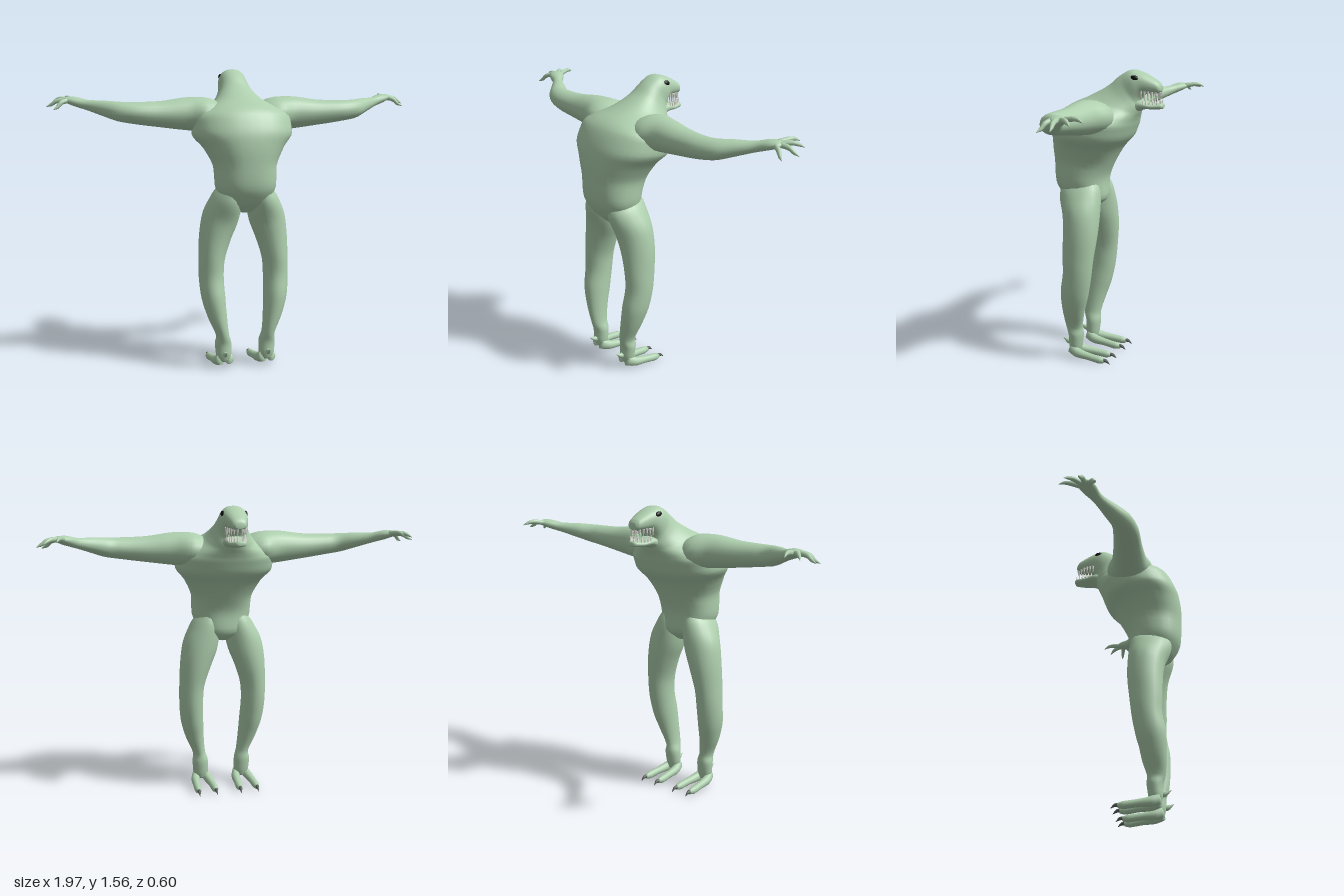
import * as THREE from 'three';

const V = (x, y, z) => new THREE.Vector3(x, y, z);

const skin = new THREE.MeshStandardMaterial({ color: 0xaecfae });
skin.name = 'skin';
const claw = new THREE.MeshStandardMaterial({ color: 0x59605a });
claw.name = 'claw';
const ivory = new THREE.MeshStandardMaterial({ color: 0xf2f2ea });
ivory.name = 'tooth ivory';
const black = new THREE.MeshStandardMaterial({ color: 0x0a0a0a });
black.name = 'eye black';

// Smooth closed skin through rings { c: centre, u, v: half axes }
function loft(rings, sides = 24, steps = 4, power = 1) {
  const curve = (k) => new THREE.CatmullRomCurve3(rings.map((r) => r[k]));
  const [C, U, W] = ['c', 'u', 'v'].map(curve);
  const n = (rings.length - 1) * steps;
  const along = rings[1].c.clone().sub(rings[0].c);
  const sign = rings[0].u.clone().cross(rings[0].v).dot(along) < 0 ? -1 : 1;
  const soft = (t) => Math.sign(t) * Math.pow(Math.abs(t), power);
  const pos = [], idx = [];
  for (let i = 0; i <= n; i++) {
    const c = C.getPoint(i / n), u = U.getPoint(i / n), v = W.getPoint(i / n);
    for (let j = 0; j < sides; j++) {
      const a = (j / sides) * Math.PI * 2;
      const p = c.clone().addScaledVector(u, soft(Math.cos(a))).addScaledVector(v, sign * soft(Math.sin(a)));
      pos.push(p.x, p.y, p.z);
    }
  }
  const first = rings[0].c, last = rings[rings.length - 1].c;
  const s0 = pos.length / 3, s1 = s0 + 1;
  pos.push(first.x, first.y, first.z, last.x, last.y, last.z);
  for (let j = 0; j < sides; j++) {
    const k = (j + 1) % sides;
    for (let i = 0; i < n; i++) {
      const a = i * sides + j, b = i * sides + k;
      idx.push(a, b, a + sides, b, b + sides, a + sides);
    }
    idx.push(s0, k, j, s1, n * sides + j, n * sides + k);
  }
  const g = new THREE.BufferGeometry();
  g.setAttribute('position', new THREE.Float32BufferAttribute(pos, 3));
  g.setIndex(idx);
  g.computeVertexNormals();
  return g;
}

// Rings square to a path; rows are [x, y, z, half width, half thickness along ref]
function limb(rows, side, ref, sides = 20, steps = 4) {
  const pts = rows.map((r) => V(r[0] * side, r[1], r[2]));
  const rings = rows.map((r, i) => {
    const t = pts[Math.min(i + 1, pts.length - 1)].clone().sub(pts[Math.max(i - 1, 0)]).normalize();
    const u = ref.clone().cross(t).normalize();
    const v = t.clone().cross(u);
    return { c: pts[i], u: u.multiplyScalar(r[3]), v: v.multiplyScalar(r[4]) };
  });
  return loft(rings, sides, steps);
}

// Rings on the centre plane; rows are [back z, back y, front z, front y, half width]
function trunk(rows, power) {
  return loft(rows.map(([bz, by, fz, fy, w]) => ({
    c: V(0, (by + fy) / 2, (bz + fz) / 2),
    u: V(w, 0, 0),
    v: V(0, (by - fy) / 2, (bz - fz) / 2),
  })), 32, 4, power);
}

export function createModel() {
  const root = new THREE.Group();
  root.name = 'creature';
  const body = new THREE.Group();
  body.name = 'body';
  body.rotation.y = 0.03;
  body.position.x = 0.02;
  root.add(body);
  const add = (name, geo, mat = skin) => {
    const m = new THREE.Mesh(geo, mat);
    m.name = name;
    body.add(m);
    return m;
  };
  const Y = V(0, 1, 0), Z = V(0, 0, 1);

  // Hunched torso running into neck, skull and upper jaw
  add('torsoAndHead', trunk([
    [0.19, 0.85, 0.07, 0.85, 0.03],
    [0.245, 0.90, 0.02, 0.90, 0.12],
    [0.29, 0.98, 0.02, 1.0, 0.158],
    [0.30, 1.1, -0.01, 1.08, 0.163],
    [0.30, 1.2, -0.06, 1.17, 0.21],
    [0.285, 1.28, -0.11, 1.23, 0.262],
    [0.245, 1.36, -0.135, 1.29, 0.26],
    [0.2, 1.40, -0.15, 1.33, 0.21],
    [0.1, 1.445, -0.165, 1.36, 0.135],
    [0.0, 1.50, -0.175, 1.385, 0.095],
    [-0.06, 1.55, -0.172, 1.405, 0.078],
    [-0.12, 1.58, -0.175, 1.43, 0.074],
    [-0.17, 1.572, -0.195, 1.457, 0.064],
    [-0.23, 1.545, -0.237, 1.462, 0.05],
    [-0.268, 1.522, -0.273, 1.466, 0.038],
    [-0.281, 1.505, -0.284, 1.475, 0.022],
  ], 0.88));

  add('lowerJaw', trunk([
    [-0.10, 1.43, -0.13, 1.33, 0.06],
    [-0.175, 1.43, -0.18, 1.377, 0.058],
    [-0.235, 1.412, -0.24, 1.382, 0.045],
    [-0.283, 1.415, -0.287, 1.385, 0.029],
    [-0.293, 1.41, -0.295, 1.392, 0.016],
  ], 0.88));

  for (const s of [1, -1]) {
    const label = s > 0 ? 'left' : 'right';

    // Arm and palm
    add(label + 'Arm', limb([
      [0.09, 1.34, 0.05, 0.10, 0.06],
      [0.19, 1.35, 0.035, 0.125, 0.088],
      [0.28, 1.355, 0.04, 0.092, 0.085],
      [0.42, 1.355, 0.047, 0.075, 0.067],
      [0.55, 1.362, 0.05, 0.066, 0.056],
      [0.63, 1.37, 0.035, 0.055, 0.05],
      [0.70, 1.385, -0.01, 0.042, 0.04],
      [0.785, 1.402, -0.065, 0.028, 0.026],
      [0.84, 1.418, -0.098, 0.04, 0.024],
      [0.875, 1.425, -0.117, 0.04, 0.017],
      [0.895, 1.425, -0.127, 0.018, 0.008],
    ], s, Y));

    // Fingers: base x, z then tip x, y, z
    for (const [bx, bz, tx, ty, tz] of [
      [0.855, -0.135, 0.89, 1.42, -0.24],
      [0.875, -0.13, 0.95, 1.41, -0.205],
      [0.882, -0.112, 0.985, 1.39, -0.13],
      [0.868, -0.095, 0.955, 1.378, -0.05],
    ]) add(label + 'Finger', limb([
      [bx, 1.425, bz, 0.014, 0.014],
      [(bx + tx) / 2, (1.432 + ty) / 2 + 0.008, (bz + tz) / 2, 0.012, 0.012],
      [bx + (tx - bx) * 0.75, ty + 0.012, bz + (tz - bz) * 0.75, 0.008, 0.009],
      [tx, ty, tz, 0.001, 0.001],
    ], s, Y, 10));

    // Leg from hip to ankle
    add(label + 'Leg', limb([
      [0.075, 0.99, 0.145, 0.05, 0.10],
      [0.092, 0.92, 0.135, 0.08, 0.113],
      [0.125, 0.82, 0.115, 0.095, 0.10],
      [0.152, 0.72, 0.11, 0.084, 0.093],
      [0.172, 0.6, 0.115, 0.068, 0.085],
      [0.175, 0.5, 0.12, 0.065, 0.078],
      [0.168, 0.4, 0.138, 0.062, 0.077],
      [0.15, 0.3, 0.153, 0.05, 0.063],
      [0.125, 0.2, 0.16, 0.034, 0.048],
      [0.12, 0.15, 0.152, 0.044, 0.042],
      [0.117, 0.09, 0.155, 0.042, 0.037],
      [0.116, 0.055, 0.155, 0.03, 0.028],
    ], s, Z));

    // Heel spur
    add(label + 'HeelSpur', limb([
      [0.117, 0.10, 0.165, 0.018, 0.02],
      [0.117, 0.10, 0.20, 0.013, 0.014],
      [0.117, 0.118, 0.232, 0.001, 0.001],
    ], s, Y, 10));

    // Two long splayed toes with claws
    for (const d of [-1, 1]) {
      const x = (k) => 0.116 + d * k;
      add(label + 'Toe', limb([
        [x(0.022), 0.07, 0.175, 0.02, 0.03],
        [x(0.035), 0.053, 0.13, 0.024, 0.026],
        [x(0.043), 0.044, 0.06, 0.02, 0.02],
        [x(0.047), 0.036, 0.0, 0.019, 0.02],
        [x(0.047), 0.034, -0.03, 0.011, 0.012],
      ], s, Y, 14));
      add(label + 'ToeClaw', limb([
        [x(0.047), 0.036, -0.015, 0.012, 0.012],
        [x(0.048), 0.036, -0.042, 0.008, 0.009],
        [x(0.049), 0.02, -0.064, 0.001, 0.001],
      ], s, Y, 8), claw);
    }

    // Eye
    const eye = add(label + 'Eye', new THREE.SphereGeometry(1, 16, 12), black);
    eye.scale.set(0.009, 0.013, 0.021);
    eye.position.set(s * 0.06, 1.543, -0.155);
    eye.rotation.set(-0.2, 0, s * 0.35);

    // Teeth along both jaws, shrinking toward the tip
    for (let i = 0; i < 6; i++) {
      const t = i / 5, z = -0.188 - 0.087 * t, x = s * (0.05 - 0.034 * t * t - 0.004 * t);
      const upper = add('upperTooth', new THREE.ConeGeometry(0.007, 0.05 - 0.01 * t, 8), ivory);
      upper.position.set(x, 1.452, z);
      upper.rotation.x = Math.PI;
      const lower = add('lowerTooth', new THREE.ConeGeometry(0.006, 0.034, 8), ivory);
      lower.position.set(x * 0.95, 1.425, z - 0.009);
    }
  }
  // Rest the soles on the ground
  root.updateMatrixWorld(true);
  body.position.y = -new THREE.Box3().setFromObject(root, true).min.y;
  return root;
}
